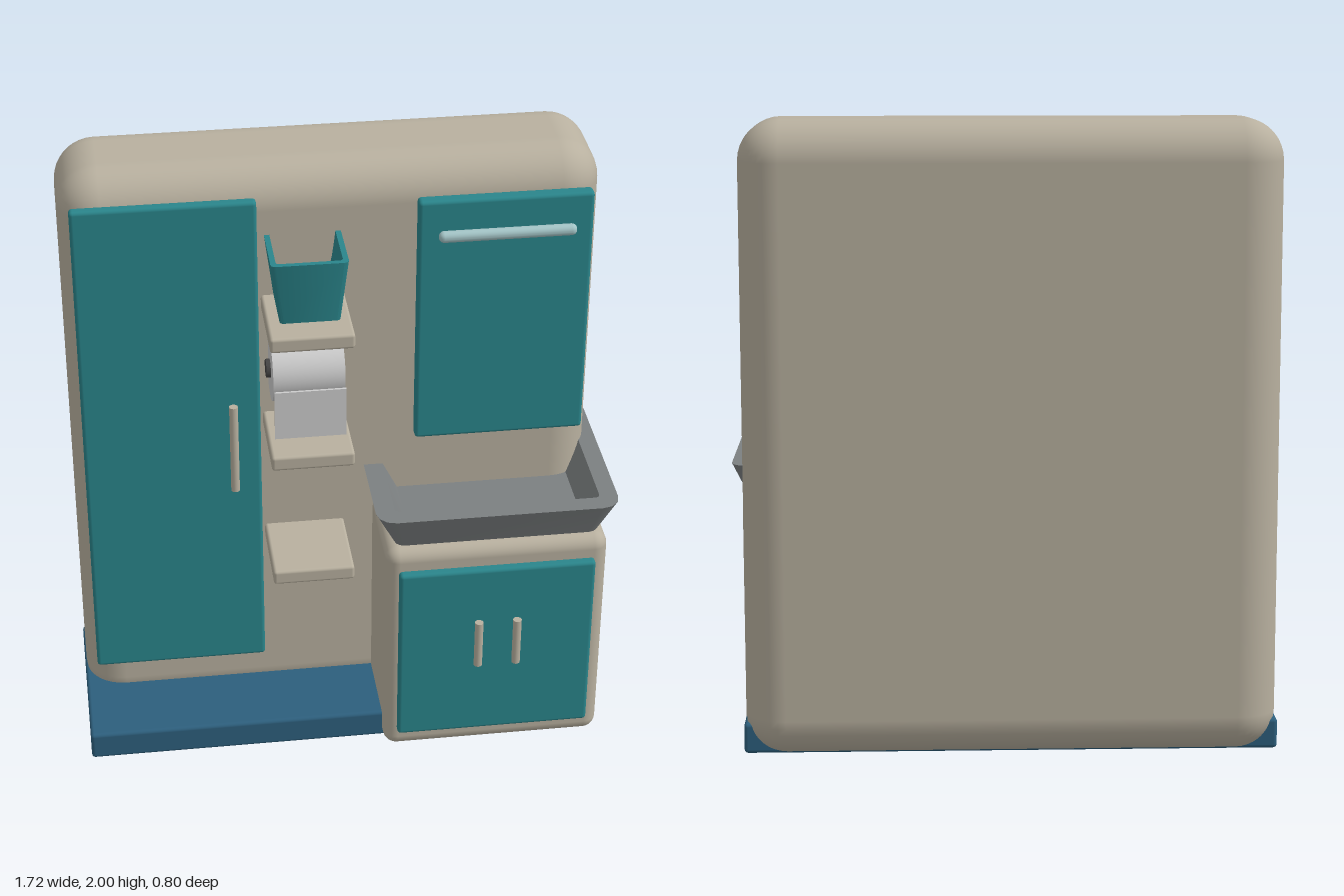
import * as THREE from 'three';
import { toCreasedNormals } from 'three/addons/utils/BufferGeometryUtils.js';
import { RoundedBoxGeometry } from 'three/addons/geometries/RoundedBoxGeometry.js';

const mat = (color, side = THREE.FrontSide) => new THREE.MeshStandardMaterial({ color, side });
const CREAM = mat(0xb8b09f), TEAL = mat(0x2a858b), BLUE = mat(0x2d5f7d);
const STEEL = mat(0x7c8081), PALE = mat(0xa3c4c6), PAPER = mat(0xcccccc), DARK = mat(0x444444);

export function createModel() {
  const group = new THREE.Group();

  const add = (name, geometry, material) => {
    const mesh = new THREE.Mesh(geometry, material);
    mesh.name = name;
    group.add(mesh);
    return mesh;
  };

  // Rounded box given by its limits along each axis
  const box = (name, [x0, x1], [y0, y1], [z0, z1], r, material, segments = 3) => {
    const g = new RoundedBoxGeometry(x1 - x0, y1 - y0, z1 - z0, segments, r);
    return add(name, g.translate((x0 + x1) / 2, (y0 + y1) / 2, (z0 + z1) / 2), material);
  };

  // Round bar centred on a point, upright or lying along x
  const bar = (name, r, length, [x, y, z], material, alongX = false, sides = 16) => {
    const g = new THREE.CylinderGeometry(r, r, length, sides);
    if (alongX) g.rotateZ(Math.PI / 2);
    return add(name, g.translate(x, y, z), material);
  };

  // Open vessel: skin over rounded rectangles [x0, x1, z0, z1, y, radius],
  // running from the outer bottom over the rim to the inner floor
  const vessel = (name, sections, material, segments = 3) => {
    const positions = [], index = [], n = 4 * (segments + 1);
    const corners = [[1, 1], [0, 1], [0, 0], [1, 0]];
    for (const [x0, x1, z0, z1, y, r] of sections) {
      corners.forEach(([right, front], c) => {
        const cx = right ? x1 - r : x0 + r, cz = front ? z1 - r : z0 + r;
        for (let i = 0; i <= segments; i++) {
          const a = (c + i / segments) * Math.PI / 2;
          positions.push(cx + r * Math.cos(a), y, cz + r * Math.sin(a));
        }
      });
    }
    for (let s = 0; s < sections.length - 1; s++) {
      for (let i = 0; i < n; i++) {
        const a = s * n + i, b = s * n + (i + 1) % n;
        index.push(a, a + n, b, b, a + n, b + n);
      }
    }
    const last = (sections.length - 1) * n;
    for (let i = 1; i < n - 1; i++) {
      index.push(0, i, i + 1);
      index.push(last, last + i + 1, last + i);
    }
    const g = new THREE.BufferGeometry();
    g.setAttribute('position', new THREE.Float32BufferAttribute(positions, 3));
    g.setIndex(index);
    return add(name, toCreasedNormals(g, 0.6), material);
  };

  // Main carcass, plinth and sink cabinet
  box('wallUnit', [-0.855, 0.825], [0, 2], [-0.4, 0.015], 0.13, CREAM, 5);
  box('plinth', [-0.86, 0.83], [0.008, 0.105], [-0.33, 0.28], 0.012, BLUE);
  box('sinkCabinet', [0.11, 0.83], [0.004, 0.8], [-0.25, 0.345], 0.045, CREAM, 4);

  // Doors
  box('tallDoor', [-0.82, -0.255], [0.21, 1.92], [0.01, 0.047], 0.012, TEAL);
  box('upperDoor', [0.24, 0.785], [1.04, 1.89], [0.01, 0.057], 0.012, TEAL);
  box('sinkCabinetDoor', [0.15, 0.785], [0.08, 0.725], [0.335, 0.372], 0.012, TEAL);

  // Handles
  bar('tallDoorHandle', 0.014, 0.315, [-0.343, 1.057, 0.07], CREAM);
  box('upperDoorHandle', [0.3, 0.73], [1.757, 1.793], [0.052, 0.088], 0.017, PALE);
  for (const x of [0.408, 0.533]) bar('sinkDoorHandle', 0.014, 0.17, [x, 0.445, 0.386], CREAM);

  // Shelves
  for (const y of [1.53, 1.105, 0.67]) {
    box('shelf', [-0.245, 0.015], [y, y + 0.05], [-0.03, 0.29], 0.01, CREAM, 2);
  }

  // Basin with a wide flat rim
  vessel('basin', [
    [0.145, 0.8, -0.23, 0.305, 0.795, 0.03],
    [0.08, 0.86, -0.29, 0.36, 0.925, 0.06],
    [0.142, 0.802, -0.23, 0.298, 0.925, 0.015],
    [0.19, 0.755, -0.185, 0.268, 0.83, 0.015],
  ], STEEL);

  // Tapered pot on the top shelf
  vessel('pot', [
    [-0.205, -0.018, 0.005, 0.198, 1.58, 0.012],
    [-0.232, 0.005, -0.015, 0.22, 1.79, 0.015],
    [-0.215, -0.012, 0.002, 0.203, 1.79, 0.01],
    [-0.19, -0.033, 0.02, 0.183, 1.6, 0.01],
  ], TEAL);

  // Paper roll, its spindle and the hanging sheet
  bar('paperRoll', 0.104, 0.225, [-0.113, 1.35, 0.072], PAPER, true, 40);
  bar('rollSpindle', 0.03, 0.24, [-0.119, 1.35, 0.072], DARK, true);
  add('paperSheet', new THREE.BoxGeometry(0.225, 0.17, 0.008).translate(-0.111, 1.238, 0.178), PAPER);

  return group;
}
